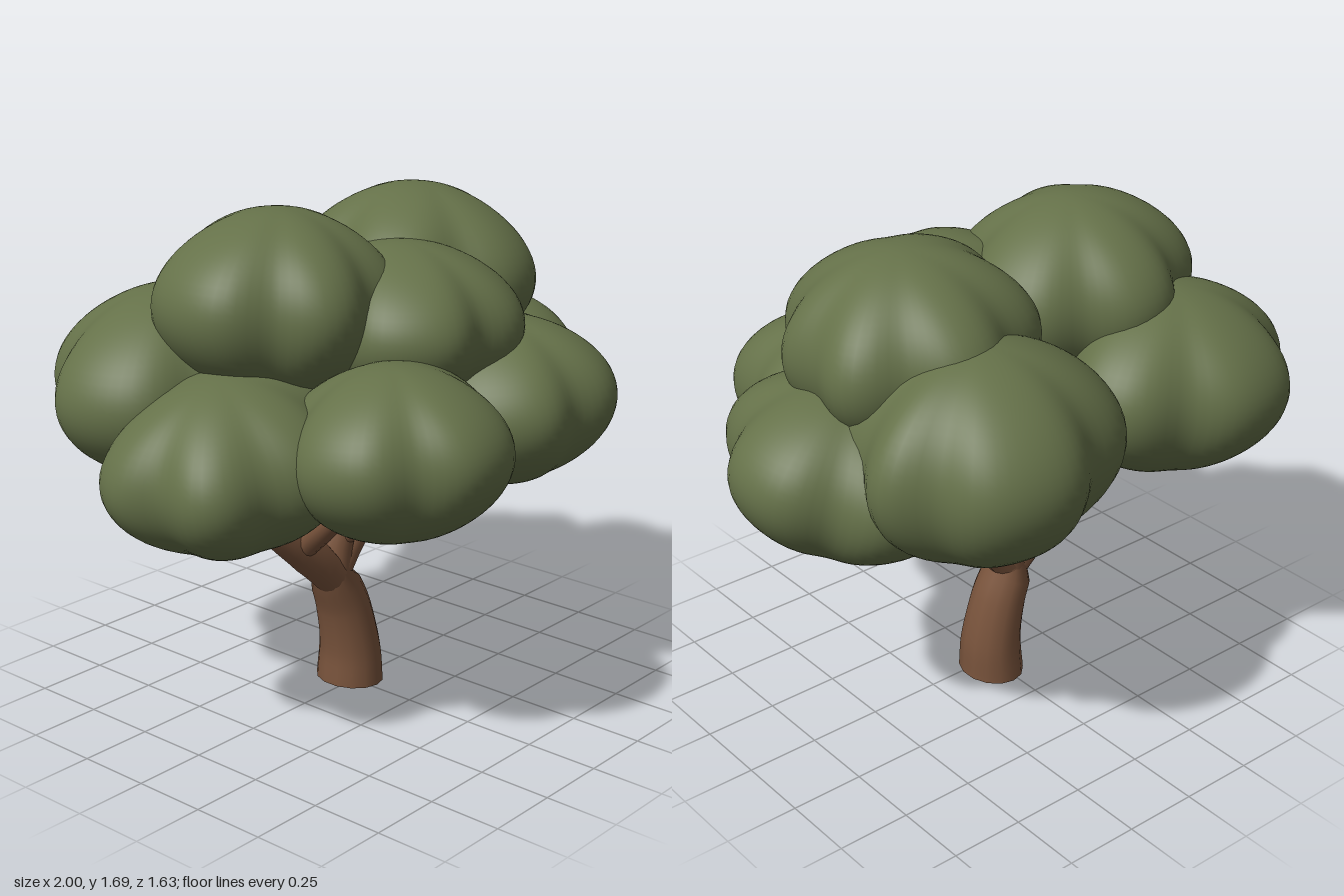
import * as THREE from 'three';
import { mergeVertices } from 'three/addons/utils/BufferGeometryUtils.js';

const foliage = new THREE.MeshStandardMaterial({ color: 0x657149 });
foliage.name = 'leaf green';
const bark = new THREE.MeshStandardMaterial({ color: 0x7b553d });
bark.name = 'bark brown';

// Smooth clump, pinched by soft furrows that run from pole to pole at the given angles
function clumpGeometry(radii, furrows) {
  const g = new THREE.SphereGeometry(1, 72, 36);
  g.deleteAttribute('uv');
  g.deleteAttribute('normal');
  const p = g.attributes.position;
  for (let i = 0; i < p.count; i++) {
    const x = p.getX(i), y = p.getY(i), z = p.getZ(i);
    const angle = Math.atan2(z, x);
    let pinch = 0;
    for (const f of furrows) {
      const d = angle - THREE.MathUtils.degToRad(f);
      pinch += Math.exp((Math.cos(d) - 1) / 0.042);
    }
    const furrow = 1.01 - 0.16 * Math.hypot(x, z) * Math.min(pinch, 1.2);
    const taper = 1 - (y > 0 ? 0.14 : 0.1) * y * y;
    p.setXYZ(i, x * furrow * taper * radii[0], y * radii[1], z * furrow * taper * radii[2]);
  }
  const merged = mergeVertices(g, 1e-5);
  merged.computeVertexNormals();
  return merged;
}

// Round limb along a curve, its radius interpolated through a short list
function limbGeometry(points, radii, depth = 1) {
  const curve = new THREE.CatmullRomCurve3(points.map(q => new THREE.Vector3(...q)));
  const segments = 20, sides = 14;
  const g = new THREE.TubeGeometry(curve, segments, 1, sides, false);
  const p = g.attributes.position, v = new THREE.Vector3();
  for (let i = 0; i <= segments; i++) {
    const c = curve.getPointAt(i / segments);
    const t = (i / segments) * (radii.length - 1);
    const k = Math.min(Math.floor(t), radii.length - 2);
    const r = THREE.MathUtils.lerp(radii[k], radii[k + 1], t - k);
    for (let j = 0; j <= sides; j++) {
      const n = i * (sides + 1) + j;
      v.fromBufferAttribute(p, n).sub(c).multiplyScalar(r);
      v.z *= depth;
      v.add(c);
      p.setXYZ(n, v.x, v.y, v.z);
    }
  }
  return g;
}

export function createModel() {
  const tree = new THREE.Group();
  tree.name = 'tree';
  const add = (parent, name, geometry, material) => {
    const m = new THREE.Mesh(geometry, material);
    m.name = name;
    parent.add(m);
    return m;
  };

  // Trunk with its flat underside
  const wood = new THREE.Group();
  wood.name = 'wood';
  tree.add(wood);
  add(wood, 'trunk', limbGeometry(
    [[0.02, 0, -0.035], [0.02, 0.12, -0.035], [-0.01, 0.28, -0.04], [-0.055, 0.4, -0.045], [-0.065, 0.45, -0.045]],
    [0.104, 0.098, 0.091, 0.086, 0.079, 0.03], 1.2), bark);
  const base = add(wood, 'trunkBase', new THREE.CircleGeometry(0.104, 28), bark);
  base.geometry.rotateX(Math.PI / 2);
  base.scale.z = 1.2;
  base.position.set(0.02, 0, -0.035);

  // Main branches and the twigs forking from them
  const branches = [
    ['rightBranch', [[-0.035, 0.36, -0.04], [-0.16, 0.49, -0.045], [-0.28, 0.6, -0.07], [-0.41, 0.74, -0.13], [-0.45, 0.95, -0.25]], [0.058, 0.068, 0.056, 0.048, 0.036]],
    ['rightFrontTwig', [[-0.2, 0.52, -0.05], [-0.245, 0.63, 0.07], [-0.26, 0.75, 0.2], [-0.29, 0.87, 0.33]], [0.034, 0.042, 0.036, 0.03]],
    ['middleBranch', [[-0.05, 0.37, -0.05], [-0.03, 0.5, -0.05], [0.02, 0.65, -0.04], [0.05, 0.9, 0], [0.05, 1.15, 0.08]], [0.06, 0.056, 0.048, 0.042, 0.036]],
    ['middleFrontTwig', [[-0.03, 0.5, -0.05], [0.02, 0.64, 0.08], [0.06, 0.76, 0.21], [0.14, 0.88, 0.32]], [0.03, 0.038, 0.034, 0.028]],
    ['middleBackTwig', [[0.02, 0.64, -0.05], [0.03, 0.74, -0.11], [0.1, 0.98, -0.26]], [0.034, 0.03, 0.025]],
    ['leftBranch', [[-0.06, 0.38, -0.05], [0.04, 0.5, -0.05], [0.2, 0.63, -0.05], [0.52, 0.88, -0.06]], [0.058, 0.052, 0.046, 0.035]],
    ['leftTwig', [[0.16, 0.6, -0.05], [0.22, 0.7, -0.02], [0.26, 0.9, 0.08]], [0.03, 0.032, 0.028]],
  ];
  for (const [name, points, radii] of branches) add(wood, name, limbGeometry(points, radii), bark);

  // Leaf clumps: name, centre, radii, furrow angles, tilt about x and z
  const crown = new THREE.Group();
  crown.name = 'crown';
  tree.add(crown);
  const clumps = [
    ['topRightClump', [-0.3, 1.39, -0.055], [0.415, 0.3, 0.4], [-124, -57, 28, 80, 138], 0, -0.06],
    ['topLeftClump', [0.37, 1.38, -0.05], [0.42, 0.3, 0.425], [-115, -53, 0, 40, 116, -170], 0, -0.08],
    ['topFrontClump', [0.05, 1.295, 0.16], [0.385, 0.265, 0.4], [0, 92, 180, -60, -120], 0, 0],
    ['frontRightClump', [-0.315, 1.005, 0.44], [0.375, 0.275, 0.375], [-145, 128, 38, -30, -85], -0.08, 0],
    ['frontLeftClump', [0.32, 1.02, 0.36], [0.37, 0.28, 0.39], [18, 95, -165, -120, -50], -0.06, 0.1],
    ['leftClump', [0.61, 1.02, -0.04], [0.39, 0.28, 0.42], [-45, 34, 110, 165, -130], -0.12, 0.15],
    ['rightClump', [-0.6, 0.955, 0.02], [0.42, 0.28, 0.395], [172, 115, -120, -60, 0, 55], 0, 0.16],
    ['backRightClump', [-0.45, 1.12, -0.36], [0.455, 0.31, 0.4], [-143, -60, 15, 65, 120], 0, 0.06],
    ['backLeftClump', [0.36, 1.135, -0.4], [0.46, 0.345, 0.415], [-117, -33, 15, 85, 150], 0, 0],
  ];
  for (const [name, centre, radii, furrows, tiltX, tiltZ] of clumps) {
    const m = add(crown, name, clumpGeometry(radii, furrows), foliage);
    m.position.set(...centre);
    m.rotation.set(tiltX, 0, tiltZ);
  }
  return tree;
}
